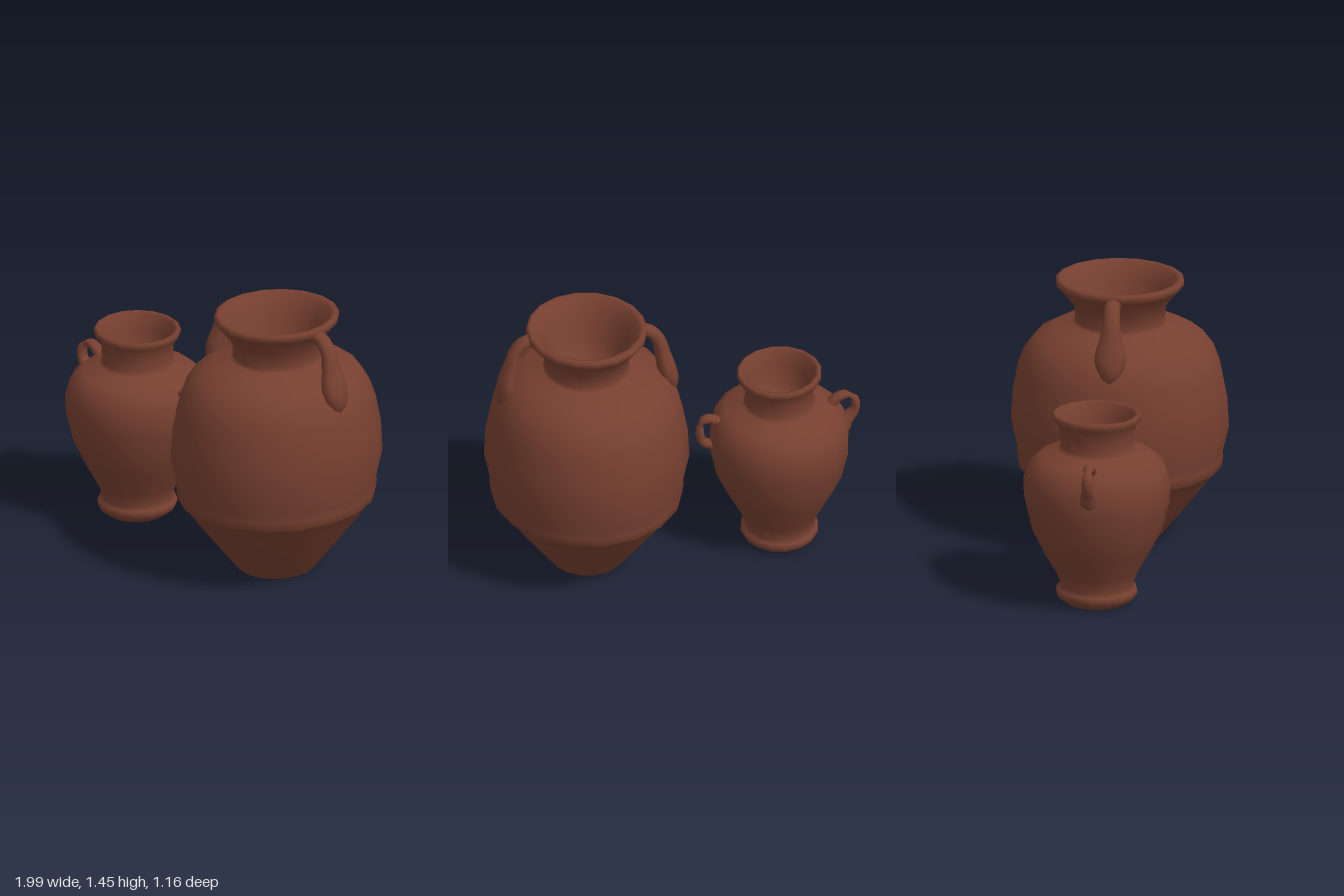
import * as THREE from 'three';
import { mergeVertices } from 'three/addons/utils/BufferGeometryUtils.js';

const clay = new THREE.MeshStandardMaterial({ color: 0x774030 });
clay.name = 'terracotta';

// Turned pot: profile of [radius, height] running up the outside and down the inside
function pot(name, profile, sides, depthScale, rimTilt) {
  const geo = new THREE.LatheGeometry(profile.map(([r, y]) => new THREE.Vector2(r, y)), sides);
  geo.scale(1, 1, depthScale);
  const p = geo.attributes.position;
  const top = Math.max(...profile.map(q => q[1]));
  // slightly uneven hand-made rim
  for (let i = 0; i < p.count; i++) {
    const k = Math.max(0, p.getY(i) / top - 0.9) * 10;
    p.setY(i, p.getY(i) - k * rimTilt * (p.getX(i) + 0.2));
  }
  const mesh = new THREE.Mesh(geo, clay);
  mesh.name = name;
  return mesh;
}

// Swept handle: points are [x, y, thickness, width]
function handle(name, points) {
  const segs = 16, sides = 8;
  const path = new THREE.CatmullRomCurve3(points.map(([x, y]) => new THREE.Vector3(x, y, 0)));
  const size = new THREE.CatmullRomCurve3(points.map(q => new THREE.Vector3(q[2], q[3], 0)));
  const pos = [], index = [];
  for (let i = 0; i <= segs; i++) {
    const t = i / segs;
    const c = path.getPoint(t), d = path.getTangent(t), s = size.getPoint(t);
    for (let j = 0; j < sides; j++) {
      const a = (j / sides) * Math.PI * 2;
      const u = Math.cos(a) * s.x, w = Math.sin(a) * s.y;
      pos.push(c.x - d.y * u, c.y + d.x * u, w);
      if (i < segs) {
        const k = (j + 1) % sides, A = i * sides, B = A + sides;
        index.push(A + j, A + k, B + j, A + k, B + k, B + j);
      }
    }
  }
  // end caps
  for (let j = 1; j < sides - 1; j++) {
    const e = segs * sides;
    index.push(0, j + 1, j, e, e + j, e + j + 1);
  }
  let geo = new THREE.BufferGeometry();
  geo.setAttribute('position', new THREE.Float32BufferAttribute(pos, 3));
  geo.setIndex(index);
  geo = mergeVertices(geo);
  geo.computeVertexNormals();
  const mesh = new THREE.Mesh(geo, clay);
  mesh.name = name;
  return mesh;
}

function createModel() {
  const model = new THREE.Group();
  model.name = 'clayJars';

  // Large storage jar
  const large = new THREE.Group();
  large.name = 'largeJar';
  large.position.x = 0.46;
  large.add(pot('largeJarBody', [
    [0, 0.005], [0.19, 0.005], [0.2, 0.012], [0.335, 0.19], [0.43, 0.32], [0.485, 0.4],
    [0.505, 0.415], [0.51, 0.46], [0.51, 0.5], [0.54, 0.64], [0.532, 0.8], [0.505, 0.95],
    [0.475, 1.04], [0.42, 1.12], [0.33, 1.175], [0.235, 1.2], [0.222, 1.22], [0.228, 1.3],
    [0.3, 1.395], [0.318, 1.415], [0.318, 1.442], [0.3, 1.45], [0.275, 1.44], [0.225, 1.36],
    [0.195, 1.25], [0.15, 1.15], [0.08, 1.1], [0, 1.09]], 18, 1.07, 0.005));
  const largeHandle = [
    [0.4, 0.98, 0.02, 0.02], [0.44, 1.05, 0.05, 0.06], [0.428, 1.14, 0.05, 0.085],
    [0.405, 1.24, 0.042, 0.06], [0.383, 1.33, 0.036, 0.045], [0.335, 1.39, 0.034, 0.042],
    [0.26, 1.405, 0.03, 0.042]];
  const left = handle('largeJarLeftHandle', largeHandle);
  const right = handle('largeJarRightHandle', largeHandle);
  right.rotation.y = Math.PI;
  large.add(left, right);

  // Small jar
  const small = new THREE.Group();
  small.name = 'smallJar';
  small.position.x = -0.57;
  small.add(pot('smallJarBody', [
    [0, 0.005], [0.155, 0.005], [0.195, 0.035], [0.207, 0.06], [0.202, 0.085], [0.178, 0.1],
    [0.21, 0.18], [0.28, 0.31], [0.335, 0.43], [0.368, 0.58], [0.37, 0.68], [0.345, 0.77],
    [0.29, 0.82], [0.2, 0.855], [0.182, 0.875], [0.185, 0.95], [0.205, 1.01], [0.222, 1.025],
    [0.224, 1.052], [0.212, 1.062], [0.19, 1.052], [0.165, 0.97], [0.15, 0.88], [0.11, 0.81],
    [0, 0.78]], 16, 1.05, 0.03));
  small.add(
    handle('smallJarLeftHandle', [
      [0.3, 0.755, 0.025, 0.035], [0.37, 0.79, 0.024, 0.032], [0.41, 0.78, 0.022, 0.03],
      [0.425, 0.73, 0.022, 0.03], [0.413, 0.655, 0.024, 0.032], [0.37, 0.63, 0.026, 0.035],
      [0.33, 0.63, 0.026, 0.035]]),
    handle('smallJarRightHandle', [
      [-0.31, 0.63, 0.04, 0.045], [-0.35, 0.7, 0.04, 0.045], [-0.405, 0.765, 0.024, 0.032],
      [-0.402, 0.83, 0.022, 0.03], [-0.36, 0.862, 0.022, 0.03], [-0.305, 0.845, 0.026, 0.034],
      [-0.26, 0.79, 0.03, 0.036]].reverse()));

  model.add(large, small);
  return model;
}

export { createModel };
